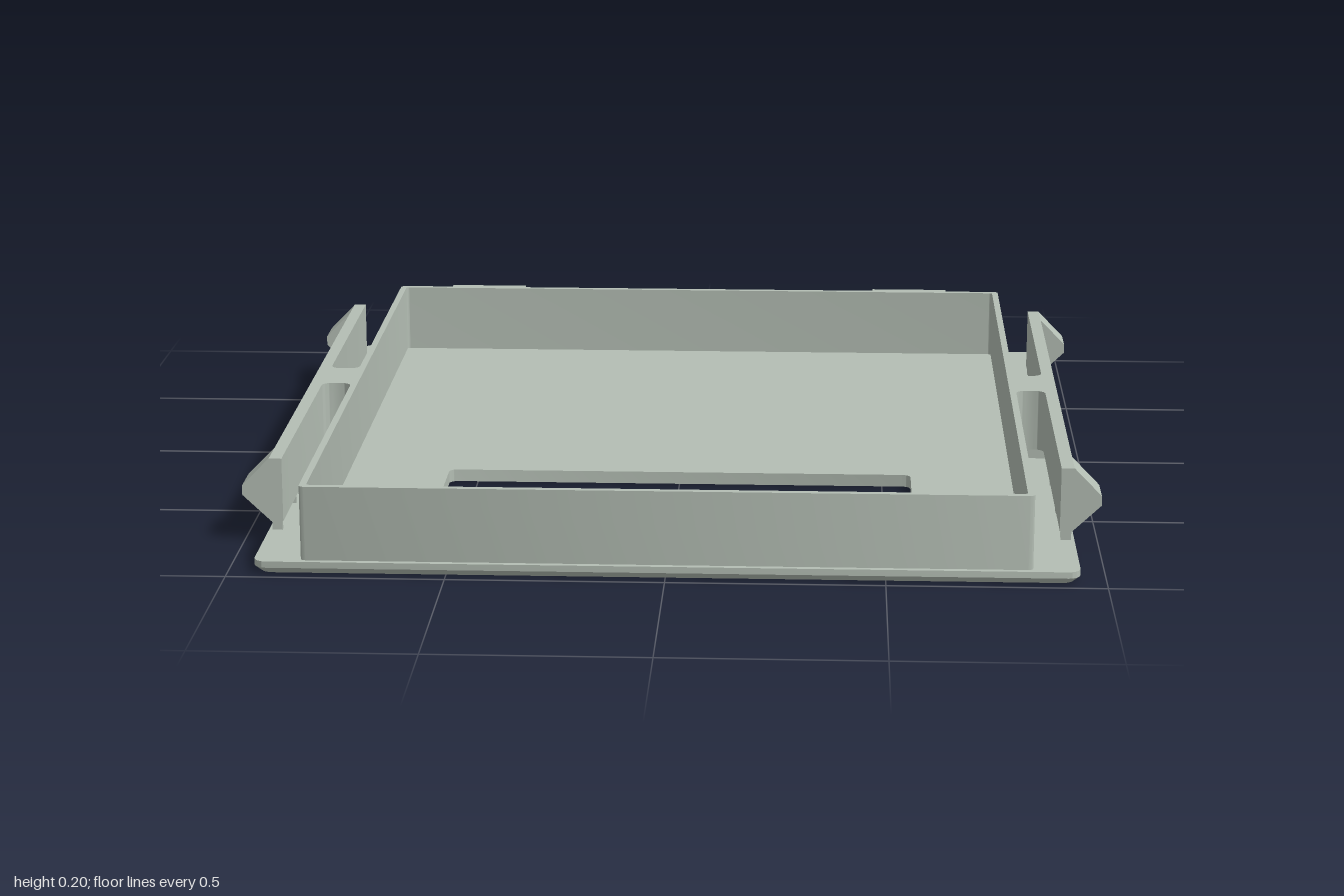
import * as THREE from 'three';
import { toCreasedNormals } from 'three/addons/utils/BufferGeometryUtils.js';

const PLATE_TOP = 0.03, RIM = 0.205;
const ARM_IN = 0.905, ARM_OUT = 0.935, WALL_X = 0.833, WALL_Z = 0.965;

// Rounded rectangle in plan (shape x = x, shape y = z)
function roundRect(path, x, z, r) {
  path.moveTo(-x + r, -z);
  path.lineTo(x - r, -z);
  path.absarc(x - r, -z + r, r, -Math.PI / 2, 0);
  path.absarc(x - r, z - r, r, 0, Math.PI / 2);
  path.absarc(-x + r, z - r, r, Math.PI / 2, Math.PI);
  path.absarc(-x + r, -z + r, r, Math.PI, Math.PI * 1.5);
  return path;
}

// Extrude a plan shape from height y0 to y1
function slab(shape, y0, y1, steps = 1) {
  const g = new THREE.ExtrudeGeometry(shape, { depth: y1 - y0, bevelEnabled: false, curveSegments: 10, steps });
  g.rotateX(Math.PI / 2);
  g.translate(0, y1, 0);
  return g;
}

export function createModel() {
  const group = new THREE.Group();
  const grey = new THREE.MeshStandardMaterial({ color: 0xb4beb4 });
  grey.name = 'greyGreenPlastic';

  const add = (parent, name, geometry) => {
    const mesh = new THREE.Mesh(toCreasedNormals(geometry, 0.5), grey);
    mesh.name = name;
    parent.add(mesh);
    return mesh;
  };
  const box = (parent, name, x0, x1, y0, y1, z0, z1) => {
    const g = new THREE.BoxGeometry(x1 - x0, y1 - y0, z1 - z0);
    g.translate((x0 + x1) / 2, (y0 + y1) / 2, (z0 + z1) / 2);
    return add(parent, name, g);
  };

  // Base plate with a scalloped window
  const plate = roundRect(new THREE.Shape(), 0.94, 0.978, 0.03);
  const hole = new THREE.Path();
  hole.moveTo(-0.55, 0.232);
  hole.lineTo(0.55, 0.232);
  hole.absarc(0.55, 0.252, 0.02, -Math.PI / 2, 0);
  hole.lineTo(0.57, 0.457);
  const sag = 0.07, half = 0.19, r = (half * half + sag * sag) / (2 * sag);
  const a = Math.asin(half / r);
  for (const cx of [0.38, 0, -0.38]) {
    hole.absarc(cx, 0.527 - r, r, Math.PI / 2 - a, Math.PI / 2 + a);
  }
  hole.lineTo(-0.57, 0.252);
  hole.absarc(-0.55, 0.252, 0.02, Math.PI, Math.PI * 1.5);
  plate.holes.push(hole);
  const plateGeo = slab(plate, 0, PLATE_TOP, 2);
  // Chamfer the lower outer edge
  const p = plateGeo.attributes.position;
  for (let i = 0; i < p.count; i++) {
    const x = p.getX(i), z = p.getZ(i);
    if (p.getY(i) < 0.001 && (Math.abs(x) > 0.7 || Math.abs(z) > 0.7)) {
      p.setX(i, x * 0.986);
      p.setZ(i, z * 0.986);
    }
  }
  add(group, 'basePlate', plateGeo);

  // Thin wall around the tray
  const wall = roundRect(new THREE.Shape(), WALL_X, WALL_Z, 0.012);
  wall.holes.push(roundRect(new THREE.Path(), WALL_X - 0.016, WALL_Z - 0.016, 0.008));
  add(group, 'trayWall', slab(wall, PLATE_TOP, RIM));

  // Raised pads on the back wall
  for (const s of [-1, 1]) {
    const c = s * 0.587;
    box(group, 'backPad', c - 0.102, c + 0.102, PLATE_TOP + 0.003, RIM, -0.983, -WALL_Z + 0.002);
  }

  // Spring arms with clips, one assembly for each side
  for (const s of [1, -1]) {
    const side = new THREE.Group();
    side.name = s > 0 ? 'leftSpringArm' : 'rightSpringArm';
    if (s < 0) side.rotation.y = Math.PI;
    group.add(side);

    // T-shaped arm and bridge with rounded inner corners
    const L = 0.745, B = 0.072, f = 0.024, X = WALL_X - 0.002;
    const arm = new THREE.Shape();
    arm.moveTo(ARM_OUT, -L);
    arm.lineTo(ARM_OUT, L);
    arm.lineTo(ARM_IN, L);
    arm.lineTo(ARM_IN, B + f);
    arm.absarc(ARM_IN - f, B + f, f, 0, -Math.PI / 2, true);
    arm.lineTo(WALL_X + f, B);
    arm.absarc(WALL_X + f, B + f, f, -Math.PI / 2, -Math.PI, true);
    arm.lineTo(X, B + f);
    arm.lineTo(X, -B - f);
    arm.lineTo(WALL_X, -B - f);
    arm.absarc(WALL_X + f, -B - f, f, Math.PI, Math.PI / 2, true);
    arm.lineTo(ARM_IN - f, -B);
    arm.absarc(ARM_IN - f, -B - f, f, Math.PI / 2, 0, true);
    arm.lineTo(ARM_IN, -L);
    add(side, 'arm', slab(arm, 0.053, RIM));
    box(side, 'bridgeFoot', X, ARM_OUT, PLATE_TOP, 0.053, -B, B);

    // Small posts under the arm
    for (const z of [0.3, 0.525, 0.735]) {
      for (const m of [-1, 1]) {
        box(side, 'post', ARM_IN + 0.003, ARM_OUT - 0.003, PLATE_TOP, 0.053, m * z - 0.005, m * z + 0.005);
      }
    }

    // Wedge clips near the arm ends
    const clip = new THREE.Shape();
    clip.moveTo(ARM_OUT - 0.002, 0.053);
    clip.lineTo(ARM_OUT, 0.053);
    clip.lineTo(1, 0.115);
    clip.lineTo(1, 0.138);
    clip.lineTo(ARM_OUT, RIM);
    clip.lineTo(ARM_OUT - 0.002, RIM);
    for (const z of [-0.742, 0.65]) {
      const g = new THREE.ExtrudeGeometry(clip, { depth: 0.092, bevelEnabled: false });
      g.translate(0, 0, z);
      add(side, 'clip', g);
    }
  }
  return group;
}
